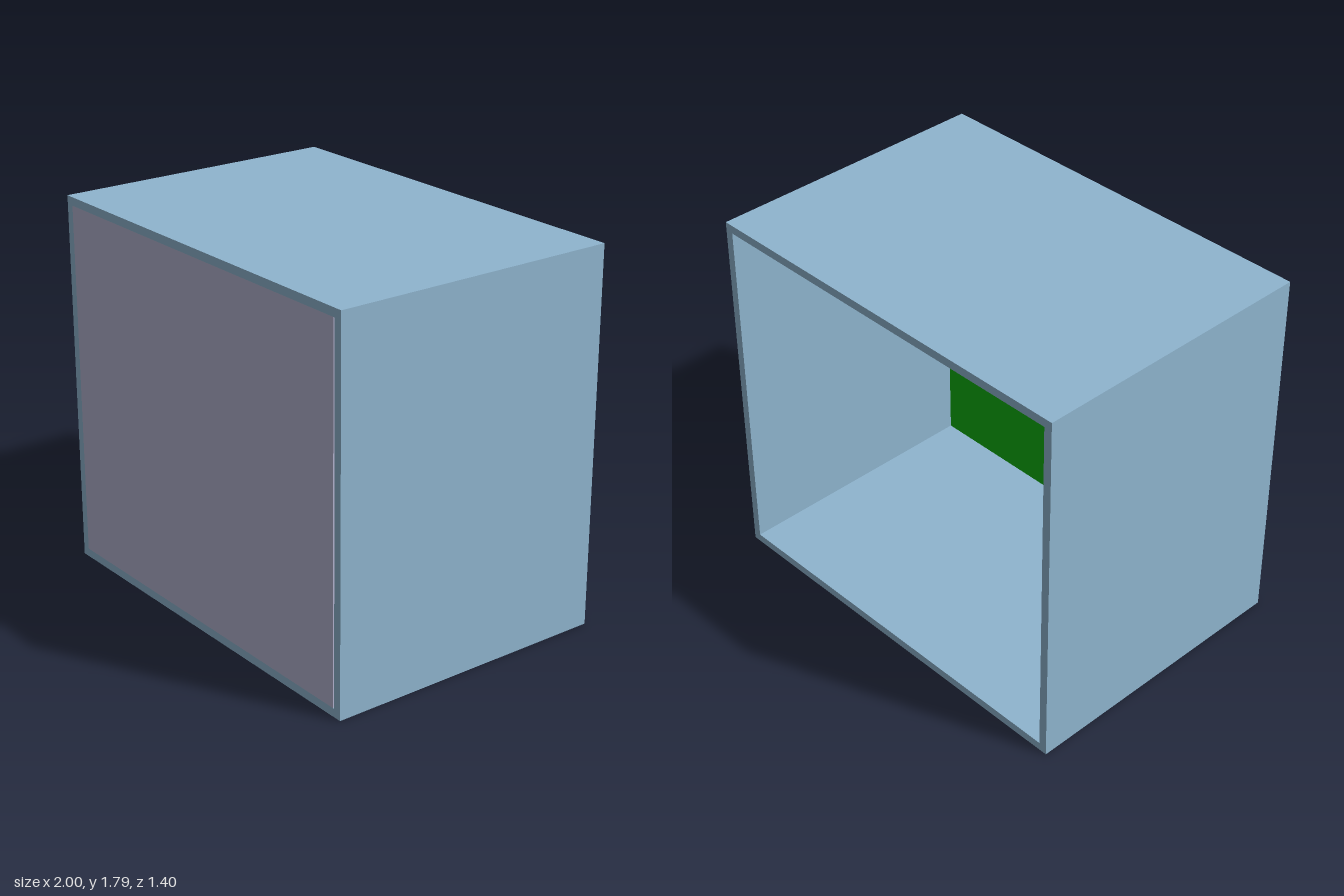
import * as THREE from 'three';

const mat = (color) => new THREE.MeshStandardMaterial({ color });

function add(parent, name, geometry, material, x = 0, y = 0, z = 0) {
  const mesh = new THREE.Mesh(geometry, material);
  mesh.name = name;
  mesh.position.set(x, y, z);
  parent.add(mesh);
  return mesh;
}

// Box given by its two opposite corners
function block(parent, name, material, [x0, y0, z0], [x1, y1, z1]) {
  return add(parent, name, new THREE.BoxGeometry(x1 - x0, y1 - y0, z1 - z0), material,
    (x0 + x1) / 2, (y0 + y1) / 2, (z0 + z1) / 2);
}

export function createModel() {
  const model = new THREE.Group();
  model.name = 'arena';
  const H = 1.79, D = 0.7, inX = 0.96, y0 = 0.04, y1 = 1.75;
  const floorZ = 0.565, zoneZ = 0.557;
  const pale = mat(0xb4b4d0);

  // Four surrounding walls as one hollow rectangular tube
  const outline = new THREE.Shape([
    new THREE.Vector2(-1, 0), new THREE.Vector2(1, 0),
    new THREE.Vector2(1, H), new THREE.Vector2(-1, H)]);
  outline.holes.push(new THREE.Path([
    new THREE.Vector2(-inX, y0), new THREE.Vector2(-inX, y1),
    new THREE.Vector2(inX, y1), new THREE.Vector2(inX, y0)]));
  add(model, 'walls', new THREE.ExtrudeGeometry(outline, { depth: 2 * D, bevelEnabled: false }),
    mat(0x8fb5cf), 0, 0, -D);

  // Floor slab closing the front, with a narrow slit on one side
  block(model, 'floorSlab', pale, [-inX, y0, floorZ], [0.952, y1, D]);

  // Coloured zones on the inner side of the floor
  const zones = new THREE.Group();
  zones.name = 'zones';
  model.add(zones);
  const split = 0.006, midY = 0.886, greenX = 0.257, greenY = 0.74;
  const zone = (name, color, ax, ay, bx, by) =>
    block(zones, name, mat(color), [ax, ay, zoneZ], [bx, by, floorZ]);
  zone('startingZone', 0x0cb00c, greenX, y0, inX, greenY);
  const orange = 0xa8560f;
  zone('obstacleZoneSide', orange, -inX, y0, greenX, midY);
  zone('obstacleZoneStrip', orange, greenX, greenY, inX, midY);
  zone('constructionZone', 0xb80808, split, midY, inX, y1);
  zone('excavationZone', 0xb80cb8, -inX, midY, split, y1);

  // Dark pad with a small marker in the construction zone
  block(model, 'targetPad', mat(0x333333), [0.53, 0.97, 0.54], [0.78, 1.3, zoneZ]);
  block(model, 'padMarker', mat(orange), [0.58, 0.99, 0.535], [0.605, 1.05, 0.54]);

  // Row of boulders along the zone border
  const boulders = new THREE.Group();
  boulders.name = 'boulders';
  model.add(boulders);
  const ball = new THREE.SphereGeometry(0.055, 32, 20);
  for (let i = 0; i < 8; i++) add(boulders, 'boulder', ball, pale, 0.88 - i * 0.12, 0.91, 0.51);

  return model;
}
